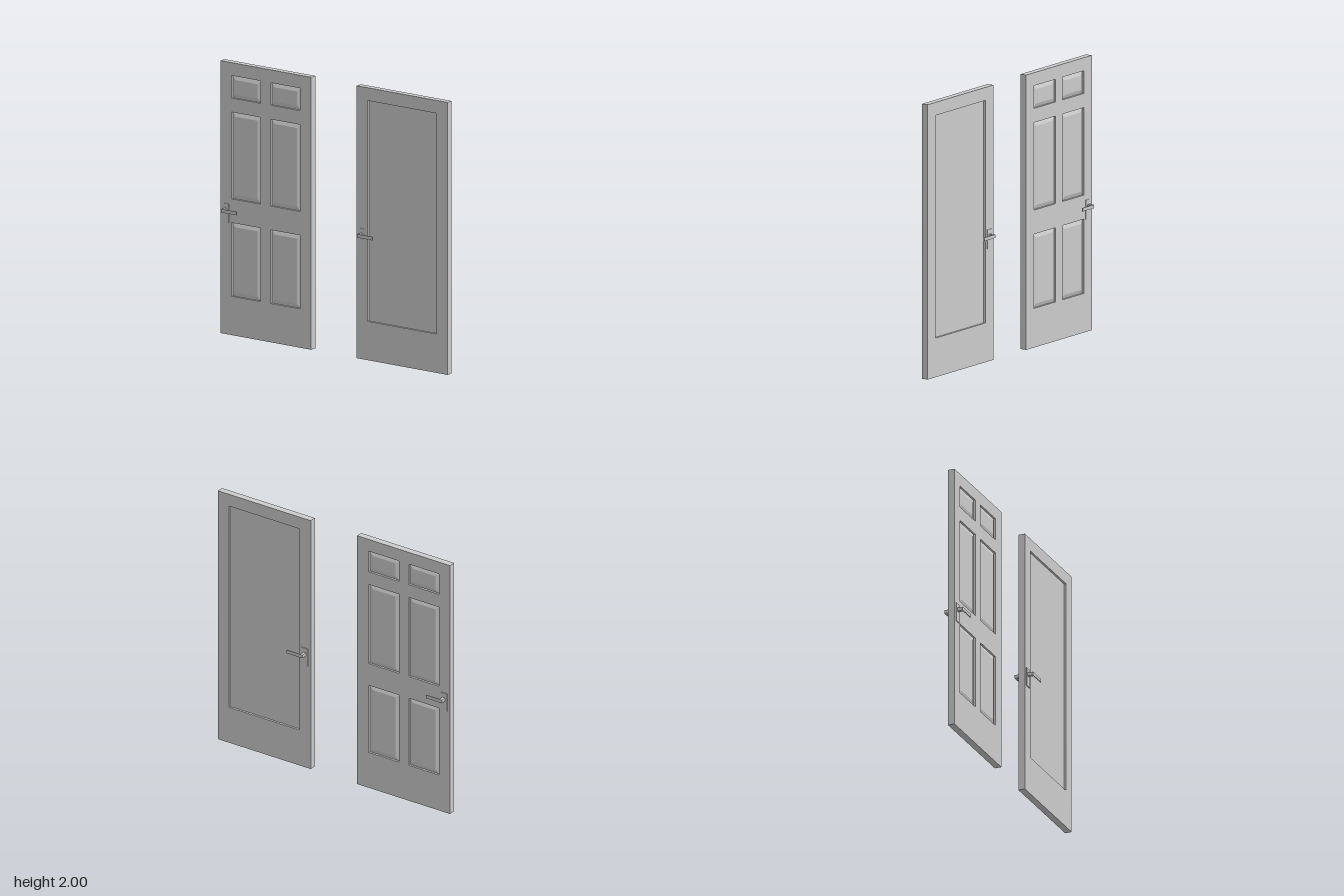
import * as THREE from 'three';

const T = 0.05, W = 0.8, H = 2; // door thickness, width, height
const material = new THREE.MeshStandardMaterial({ color: 0xcccccc });

function add(parent, name, geometry, x = 0, y = 0, z = 0) {
  const mesh = new THREE.Mesh(geometry, material);
  mesh.name = name;
  mesh.position.set(x, y, z);
  parent.add(mesh);
  return mesh;
}

function trace(path, x0, y0, x1, y1) {
  path.moveTo(x0, y0);
  path.lineTo(x1, y0);
  path.lineTo(x1, y1);
  path.lineTo(x0, y1);
  path.closePath();
  return path;
}

// Slab with rectangular openings [x0, y0, x1, y1]
function frameGeometry(openings) {
  const shape = trace(new THREE.Shape(), -W / 2, 0, W / 2, H);
  for (const o of openings) shape.holes.push(trace(new THREE.Path(), ...o));
  const g = new THREE.ExtrudeGeometry(shape, { depth: T, bevelEnabled: false });
  return g.translate(0, 0, -T / 2);
}

// Raised field: a box whose front face is drawn in on all four sides
function fieldGeometry(w, h, depth, inset) {
  const g = new THREE.BoxGeometry(w, h, depth);
  const p = g.attributes.position;
  for (let i = 0; i < p.count; i++) {
    if (p.getZ(i) > 0) {
      p.setX(i, p.getX(i) - Math.sign(p.getX(i)) * inset);
      p.setY(i, p.getY(i) - Math.sign(p.getY(i)) * inset);
    }
  }
  g.computeVertexNormals();
  return g;
}

// Backplate, spindle and lever, facing +z
function createHandle(name) {
  const handle = new THREE.Group();
  handle.name = name;
  add(handle, 'backplate', new THREE.BoxGeometry(0.052, 0.14, 0.005), -0.35, 0.89, T / 2 + 0.0025);
  add(handle, 'spindle', new THREE.BoxGeometry(0.022, 0.025, 0.044), -0.35, 0.913, T / 2 + 0.022);
  add(handle, 'lever', new THREE.BoxGeometry(0.137, 0.025, 0.007), -0.293, 0.913, 0.0685);
  return handle;
}

// Door with handles on both sides
function createDoor(name, x, openings) {
  const door = new THREE.Group();
  door.name = name;
  door.position.x = x;
  add(door, 'doorFrame', frameGeometry(openings));
  const front = createHandle('frontHandle');
  const back = createHandle('backHandle');
  back.scale.z = -1;
  door.add(front, back);
  return door;
}

export function createModel() {
  const model = new THREE.Group();
  model.name = 'doorPair';

  // Six-panel door
  const columns = [[-0.302, -0.045], [0.042, 0.302]];
  const rows = [[0.285, 0.825], [1.0, 1.637], [1.74, 1.905]];
  const openings = [];
  for (const [x0, x1] of columns) for (const [y0, y1] of rows) openings.push([x0, y0, x1, y1]);
  const panelled = createDoor('panelledDoor', -0.6, openings);
  for (const [x0, y0, x1, y1] of openings) {
    const w = x1 - x0, h = y1 - y0, x = (x0 + x1) / 2, y = (y0 + y1) / 2;
    for (const side of [1, -1]) {
      const panel = add(panelled, 'raisedPanel', fieldGeometry(w, h, 0.011, 0.03), x, y, side * 0.0155);
      if (side < 0) panel.rotation.y = Math.PI;
    }
    add(panelled, 'panelCore', new THREE.BoxGeometry(w, h, 0.02), x, y);
  }
  model.add(panelled);

  // Door with one large flat pane
  const pane = [-0.304, 0.285, 0.304, 1.905];
  const flat = createDoor('singlePaneDoor', 0.6, [pane]);
  add(flat, 'pane', new THREE.BoxGeometry(0.608, 1.62, 0.02), 0, 1.095);
  model.add(flat);

  return model;
}
